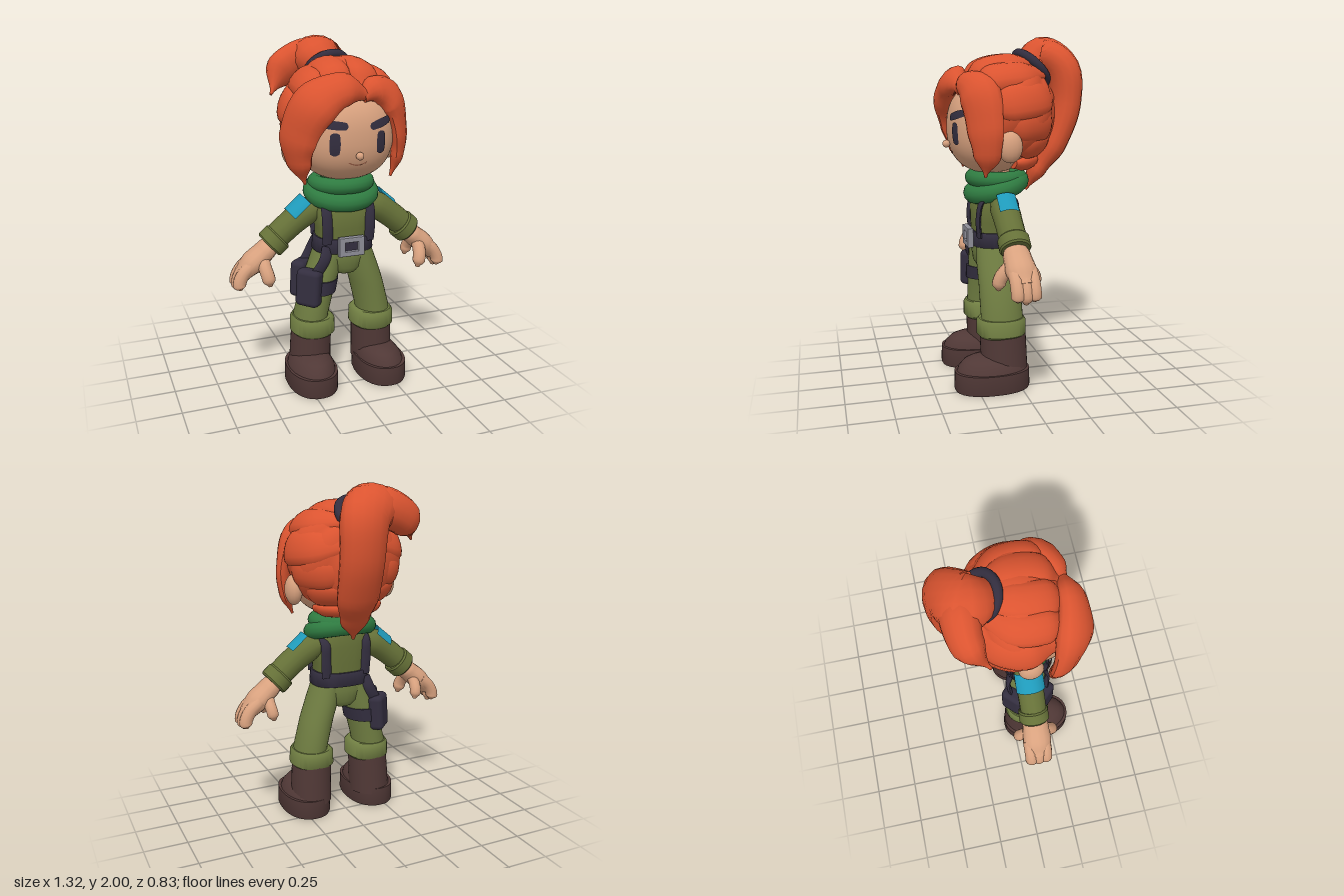
import * as THREE from 'three';
import { toCreasedNormals } from 'three/addons/utils/BufferGeometryUtils.js';
import { RoundedBoxGeometry } from 'three/addons/geometries/RoundedBoxGeometry.js';

const V = (x, y, z) => new THREE.Vector3(x, y, z);
const mat = (name, color) => Object.assign(new THREE.MeshStandardMaterial({ color }), { name });
const spow = (v, p) => Math.sign(v) * Math.abs(v) ** p;

// Closed skin over a list of rings, each running anticlockwise about the direction of travel
function skin(rings, crease = 0.8) {
  const n = rings[0].length, pos = [], idx = [];
  rings.forEach(r => r.forEach(p => pos.push(p.x, p.y, p.z)));
  for (let i = 0; i < rings.length - 1; i++) for (let j = 0; j < n; j++) {
    const a = i * n + j, b = i * n + (j + 1) % n;
    idx.push(a, b, a + n, b, b + n, a + n);
  }
  [0, rings.length - 1].forEach((k, end) => {
    const c = rings[k].reduce((s, p) => s.add(p), V(0, 0, 0)).divideScalar(n);
    const ci = pos.length / 3;
    pos.push(c.x, c.y, c.z);
    for (let j = 0; j < n; j++) {
      const a = k * n + j, b = k * n + (j + 1) % n;
      end ? idx.push(ci, a, b) : idx.push(ci, b, a);
    }
  });
  const g = new THREE.BufferGeometry();
  g.setAttribute('position', new THREE.Float32BufferAttribute(pos, 3));
  g.setIndex(idx);
  return toCreasedNormals(g, crease);
}

// Stacked horizontal sections, bottom to top: [y, centreX, centreZ, radiusX, radiusZ]
function loft(sections, power = 1, seg = 32) {
  return skin(sections.map(([y, cx, cz, rx, rz]) => Array.from({ length: seg }, (_, j) => {
    const a = j / seg * Math.PI * 2;
    return V(cx + rx * spow(Math.sin(a), power), y, cz + rz * spow(Math.cos(a), power));
  })));
}

// Elliptical sweep along a curve; ref gives the thickness direction
function sweep(points, widths, thicks, ref, steps = 20, seg = 14) {
  const curve = new THREE.CatmullRomCurve3(points.map(p => V(...p)));
  const at = (list, u) => {
    const f = u * (list.length - 1), i = Math.min(Math.floor(f), list.length - 2);
    return THREE.MathUtils.lerp(list[i], list[i + 1], THREE.MathUtils.smoothstep(f - i, 0, 1));
  };
  return skin(Array.from({ length: steps + 1 }, (_, i) => {
    const u = i / steps, p = curve.getPoint(u), t = curve.getTangent(u);
    const side = ref(p, t).cross(t).normalize(), out = t.clone().cross(side);
    return Array.from({ length: seg }, (_, j) => {
      const a = j / seg * Math.PI * 2;
      return p.clone().addScaledVector(side, Math.cos(a) * at(widths, u))
        .addScaledVector(out, Math.sin(a) * at(thicks, u));
    });
  }));
}

// Head surface, shared by the head and the painted face details
const H = { c: V(0, 1.49, 0.12), r: V(0.275, 0.26, 0.24), p: 0.85 };
function faceZ(x, y) {
  const e = 2 / H.p;
  const k = 1 - Math.abs(x / H.r.x) ** e - Math.abs((y - H.c.y) / H.r.y) ** e;
  return H.c.z + H.r.z * Math.max(k, 0) ** (1 / e);
}
function decal(x, y, w, h, tilt = 0, bend = 0) {
  const g = new THREE.PlaneGeometry(2, 2, 12, 10), p = g.attributes.position;
  for (let i = 0; i < p.count; i++) {
    const u = p.getX(i), v = p.getY(i);
    const a = u * Math.sqrt(1 - 0.3 * v * v) * w / 2, b = v * Math.sqrt(1 - 0.3 * u * u) * h / 2 + bend * u * u;
    const px = x + a * Math.cos(tilt) - b * Math.sin(tilt), py = y + a * Math.sin(tilt) + b * Math.cos(tilt);
    p.setXYZ(i, px, py, faceZ(px, py) + 0.005);
  }
  g.computeVertexNormals();
  return g;
}

export function createModel() {
  const root = new THREE.Group();
  const hair = mat('hair orange', 0xdb5430), skinM = mat('skin', 0xd9a27f), jacket = mat('jacket olive', 0x667138),
    pants = mat('trouser olive', 0x707e42), dark = mat('dark leather', 0x332e3f), boot = mat('boot brown', 0x503836),
    green = mat('scarf green', 0x2f7b41), blue = mat('patch blue', 0x1f9aba), metal = mat('buckle grey', 0x8e8e98),
    lip = mat('mouth brown', 0xa8694f);
  blue.side = THREE.DoubleSide;
  const add = (name, geo, material, x = 0, y = 0, z = 0) => {
    const m = new THREE.Mesh(geo, material);
    m.name = name;
    m.position.set(x, y, z);
    root.add(m);
    return m;
  };
  const zRef = () => V(0, 0, 1);
  const headRef = p => p.clone().sub(V(0, 1.55, 0.04));

  // Head and face
  const headG = new THREE.SphereGeometry(1, 48, 32), hp = headG.attributes.position;
  for (let i = 0; i < hp.count; i++)
    hp.setXYZ(i, ...['x', 'y', 'z'].map((k, a) => H.c[k] + H.r[k] * spow(hp.getComponent(i, a), H.p)));
  add('head', toCreasedNormals(headG, 1), skinM);
  add('neck', new THREE.CylinderGeometry(0.08, 0.08, 0.16, 20), skinM, 0, 1.2, 0.08);
  add('nose', new THREE.SphereGeometry(0.022, 14, 10), skinM, 0, 1.4, 0.37);
  add('mouth', decal(0, 1.345, 0.11, 0.008, 0, 0.014), lip);
  for (const s of [1, -1]) {
    add('eye', decal(s * 0.132, 1.465, 0.056, 0.125), dark);
    add('eyebrow', decal(s * 0.132, 1.567, 0.14, 0.046, s > 0 ? 0.24 : -0.1), dark);
    add('ear', new THREE.SphereGeometry(1, 16, 12), skinM, s * 0.295, 1.4, 0.07).scale.set(0.05, 0.088, 0.07);
  }

  // Hair cap, scalloped into strands that meet at the ponytail
  const cap = new THREE.SphereGeometry(1, 72, 30), cp = cap.attributes.position;
  for (let i = 0; i < cp.count; i++) {
    const x = cp.getX(i), y = cp.getY(i), z = cp.getZ(i), ring = Math.hypot(x, z);
    const k = 0.97 + 0.05 * ring * Math.abs(Math.cos(4.5 * Math.atan2(x, z)));
    cp.setXYZ(i, x * k, y * k, z * k);
  }
  cap.rotateX(-0.7).scale(0.33, 0.32, 0.28).translate(0, 1.58, 0.025);
  add('hairCap', toCreasedNormals(cap, 0.5), hair);

  // Crown, side and back strands in layers: [path, half width, half thickness]
  for (const s of [1, -1]) {
    [
      [[[0.06, 1.73, 0.26], [0.085, 1.82, 0.18], [0.085, 1.855, 0.03], [0.035, 1.84, -0.13]], 0.095, 0.045],
      [[[0.17, 1.71, 0.24], [0.21, 1.765, 0.15], [0.2, 1.785, 0.0], [0.08, 1.8, -0.15]], 0.095, 0.05],
      [[[0.26, 1.62, 0.19], [0.305, 1.64, 0.05], [0.25, 1.66, -0.1], [0.08, 1.69, -0.21]], 0.1, 0.04],
      [[[0.28, 1.51, 0.1], [0.29, 1.51, -0.02], [0.21, 1.51, -0.15], [0.03, 1.54, -0.22]], 0.085, 0.035],
      [[[0.23, 1.39, 0.02], [0.21, 1.39, -0.07], [0.13, 1.39, -0.14], [0, 1.4, -0.17]], 0.08, 0.04],
      [[[0.18, 1.29, 0.02], [0.15, 1.29, -0.05], [0.08, 1.29, -0.1], [0, 1.3, -0.12]], 0.055, 0.035],
    ].forEach(([pts, w, t]) => add('hairStrand', sweep(pts.map(([x, y, z]) => [s * x, y, z]),
      [w * 0.6, w, w, w * 0.6], [t * 0.6, t, t, t * 0.6], headRef), hair));
  }

  // Two large fringe locks from an off-centre parting
  add('rightFringe', sweep([[0.07, 1.71, 0.29], [-0.08, 1.75, 0.315], [-0.23, 1.67, 0.3], [-0.31, 1.5, 0.26], [-0.3, 1.36, 0.235], [-0.26, 1.235, 0.22]],
    [0.03, 0.1, 0.135, 0.12, 0.085, 0.008], [0.03, 0.065, 0.08, 0.052, 0.042, 0.008], headRef, 28), hair);
  add('leftFringe', sweep([[0.04, 1.7, 0.3], [0.12, 1.735, 0.27], [0.23, 1.68, 0.225], [0.297, 1.5, 0.21], [0.295, 1.36, 0.2], [0.255, 1.235, 0.2]],
    [0.03, 0.08, 0.12, 0.105, 0.08, 0.008], [0.03, 0.06, 0.07, 0.045, 0.038, 0.008], headRef, 28), hair);

  // Ponytail with a band, a hanging lock and a lock blown to the right
  add('hairBand', new THREE.TorusGeometry(0.115, 0.027, 10, 28), dark, -0.01, 1.825, -0.135).rotation.set(Math.PI / 4, 0.12, 0);
  add('ponytail', sweep([[-0.01, 1.8, -0.11], [-0.05, 1.885, -0.215], [0.03, 1.82, -0.305], [0.05, 1.62, -0.32], [0.04, 1.4, -0.25], [0.02, 1.25, -0.165], [0, 1.12, -0.1]],
    [0.1, 0.15, 0.14, 0.13, 0.125, 0.09, 0.01], [0.1, 0.12, 0.1, 0.09, 0.082, 0.055, 0.01],
    (p, t) => t.clone().cross(V(1, 0, 0)), 32, 16), hair);
  add('ponytailSideLock', sweep([[0.05, 1.87, -0.24], [-0.1, 1.87, -0.255], [-0.24, 1.81, -0.245], [-0.34, 1.68, -0.15]],
    [0.06, 0.12, 0.11, 0.008], [0.05, 0.1, 0.085, 0.008], () => V(0, 0.5, -1)), hair);

  // Scarf: two rolls, the lower one dipping at the front
  const scarfRoll = (y, rx, rz, tube, dip) => {
    const ring = [];
    for (let i = 0; i < 12; i++) {
      const a = i / 12 * Math.PI * 2;
      ring.push(V(rx * Math.sin(a), y - dip * Math.cos(a), 0.08 + rz * Math.cos(a)));
    }
    return new THREE.TubeGeometry(new THREE.CatmullRomCurve3(ring, true), 48, tube, 12, true);
  };
  add('scarfTop', scarfRoll(1.2, 0.148, 0.135, 0.046, 0.0), green);
  add('scarfBottom', scarfRoll(1.145, 0.168, 0.135, 0.055, 0.04), green);

  // Torso, hips, belt and buckle
  add('jacket', loft([[0.84, 0, 0.1, 0.155, 0.12], [0.95, 0, 0.1, 0.158, 0.125], [1.05, 0, 0.1, 0.18, 0.125],
    [1.12, 0, 0.08, 0.16, 0.1], [1.18, 0, 0.07, 0.08, 0.07]], 0.75), jacket);
  add('hips', loft([[0.66, 0, 0.1, 0.03, 0.06], [0.675, 0, 0.1, 0.07, 0.095], [0.71, 0, 0.1, 0.13, 0.116], [0.78, 0, 0.1, 0.172, 0.125],
    [0.85, 0, 0.1, 0.165, 0.125]], 0.9), pants);
  add('belt', loft([[0.81, 0, 0.1, 0.174, 0.137], [0.815, 0, 0.1, 0.178, 0.14], [0.89, 0, 0.1, 0.17, 0.14], [0.895, 0, 0.1, 0.166, 0.137]], 0.8), dark);
  const rect = (S, w, h) => new S([[-w, -h], [w, -h], [w, h], [-w, h]].map(([x, y]) => new THREE.Vector2(x, y)));
  const frame = rect(THREE.Shape, 0.07, 0.05);
  frame.holes.push(rect(THREE.Path, 0.046, 0.032));
  add('buckle', new THREE.ExtrudeGeometry(frame, { depth: 0.025, bevelSize: 0.006, bevelThickness: 0.005, bevelSegments: 2 }), metal, 0, 0.857, 0.237);
  add('bucklePlate', new THREE.BoxGeometry(0.1, 0.07, 0.02), dark, 0, 0.857, 0.238);

  for (const s of [1, -1]) {
    const mx = pts => pts.map(([x, y, z]) => [s * x, y, z]);
    const tall = rows => rows.map(([y, x, ...r]) => [y, s * x, ...r]);

    // Shoulder strap, over the front and down the back
    add('strap', sweep(mx([[0.125, 0.87, 0.208], [0.13, 0.98, 0.215], [0.13, 1.08, 0.19], [0.13, 1.13, 0.09],
      [0.13, 1.08, 0.0], [0.13, 0.98, -0.01], [0.125, 0.87, -0.005]]), [0.031, 0.031], [0.014, 0.014],
      p => V(0, p.y - 0.95, p.z - 0.1), 28, 10), dark);

    // Sleeve, rolled cuff and shoulder patch
    const d = V(s * 0.75, -0.66, 0).normalize();
    const turn = new THREE.Quaternion().setFromUnitVectors(V(0, 1, 0), d.clone().negate());
    add('sleeve', sweep(mx([[0.13, 1.07, 0.08], [0.22, 1.035, 0.08], [0.32, 0.965, 0.08], [0.42, 0.88, 0.078]]),
      [0.06, 0.08, 0.076, 0.074], [0.07, 0.082, 0.078, 0.076], zRef), jacket);
    const cuffProfile = [[0, -0.04], [0.08, -0.04], [0.088, -0.03], [0.088, 0.03], [0.08, 0.04], [0, 0.04]];
    add('sleeveCuff', toCreasedNormals(new THREE.LatheGeometry(cuffProfile.map(([x, y]) => new THREE.Vector2(x, y)), 28), 0.5),
      jacket, s * 0.405, 0.885, 0.077).quaternion.copy(turn);
    const arc = s > 0 ? 1.25 : 2.2;
    add('shoulderPatch', new THREE.CylinderGeometry(0.092, 0.094, 0.122, 16, 1, true, s * Math.PI / 2 - arc / 2, arc),
      blue, s * 0.227, 1.033, 0.08).quaternion.copy(turn);

    // Hand: palm, three fingers, thumb and little finger
    add('palm', sweep(mx([[0.41, 0.88, 0.077], [0.46, 0.83, 0.077], [0.53, 0.77, 0.074], [0.6, 0.7, 0.07]]),
      [0.052, 0.06, 0.064, 0.045], [0.058, 0.078, 0.085, 0.068], zRef), skinM);
    const finger = (name, pts, r) => {
      const radii = [1, 1, 1, 1, 1, 0.3].map(k => k * r);
      add(name, sweep(mx(pts), radii, radii, zRef, 15, 12), skinM);
    };
    [0.025, 0.07, 0.115].forEach((z, i) => finger('finger',
      [[0.53, 0.775, z], [0.59, 0.725, z], [0.62, 0.665, z], [0.615, 0.61 + 0.015 * Math.abs(i - 1), z]], 0.038));
    finger('thumb', [[0.48, 0.8, 0.1], [0.48, 0.76, 0.145], [0.47, 0.71, 0.175], [0.457, 0.65, 0.18]], 0.038);
    finger('littleFinger', [[0.48, 0.8, 0.05], [0.48, 0.76, 0.01], [0.475, 0.72, -0.018], [0.465, 0.665, -0.024]], 0.034);

    // Trouser leg with turn-up
    add('trouserLeg', loft(tall([[0.3, 0.2, 0.095, 0.095, 0.12], [0.42, 0.195, 0.095, 0.1, 0.122], [0.6, 0.15, 0.097, 0.098, 0.122],
      [0.72, 0.11, 0.1, 0.096, 0.122], [0.82, 0.085, 0.1, 0.084, 0.118]])), pants);
    add('turnUp', loft(tall([[0.305, 0.187, 0.098, 0.115, 0.13], [0.32, 0.187, 0.098, 0.13, 0.143], [0.395, 0.187, 0.098, 0.127, 0.142],
      [0.412, 0.19, 0.098, 0.112, 0.13]]), 0.9), pants);

    // Boot: shaft, rounded toe and sole
    add('bootShaft', loft(tall([[0.08, 0.2, 0.082, 0.123, 0.136], [0.2, 0.197, 0.085, 0.12, 0.135], [0.34, 0.19, 0.09, 0.117, 0.134]])), boot);
    add('bootToe', loft(tall([[0.1, 0.217, 0.16, 0.136, 0.21], [0.14, 0.214, 0.157, 0.126, 0.198], [0.175, 0.21, 0.15, 0.1, 0.172],
      [0.193, 0.207, 0.14, 0.07, 0.14], [0.2, 0.205, 0.13, 0.035, 0.11]])), boot);
    add('bootSole', loft(tall([[0, 0.217, 0.16, 0.14, 0.215], [0.012, 0.217, 0.16, 0.145, 0.22], [0.115, 0.217, 0.16, 0.143, 0.218]]), 0.88), boot);
  }

  // Thigh rig on the right leg: band, two angled pouches and hanging straps
  add('thighBand', loft([[0.565, -0.157, 0.097, 0.11, 0.133], [0.645, -0.14, 0.097, 0.108, 0.133]]), dark);
  for (const [name, x, z, turn] of [['frontPouch', -0.232, 0.185, -1], ['backPouch', -0.222, 0.0, 1]])
    add(name, new RoundedBoxGeometry(0.145, 0.22, 0.09, 3, 0.03), dark, x, 0.615, z).rotation.set(0, turn * Math.PI / 4, -0.06, 'ZYX');
  for (const [z, bulge] of [[0.2, 0.222], [0.0, -0.022]])
    add('hangingStrap', sweep([[-0.125, 0.85, z], [-0.15, 0.78, bulge], [-0.2, 0.69, bulge * 0.9 + 0.005]], [0.034, 0.034], [0.014, 0.014], zRef, 8, 10), dark);

  return root;
}
